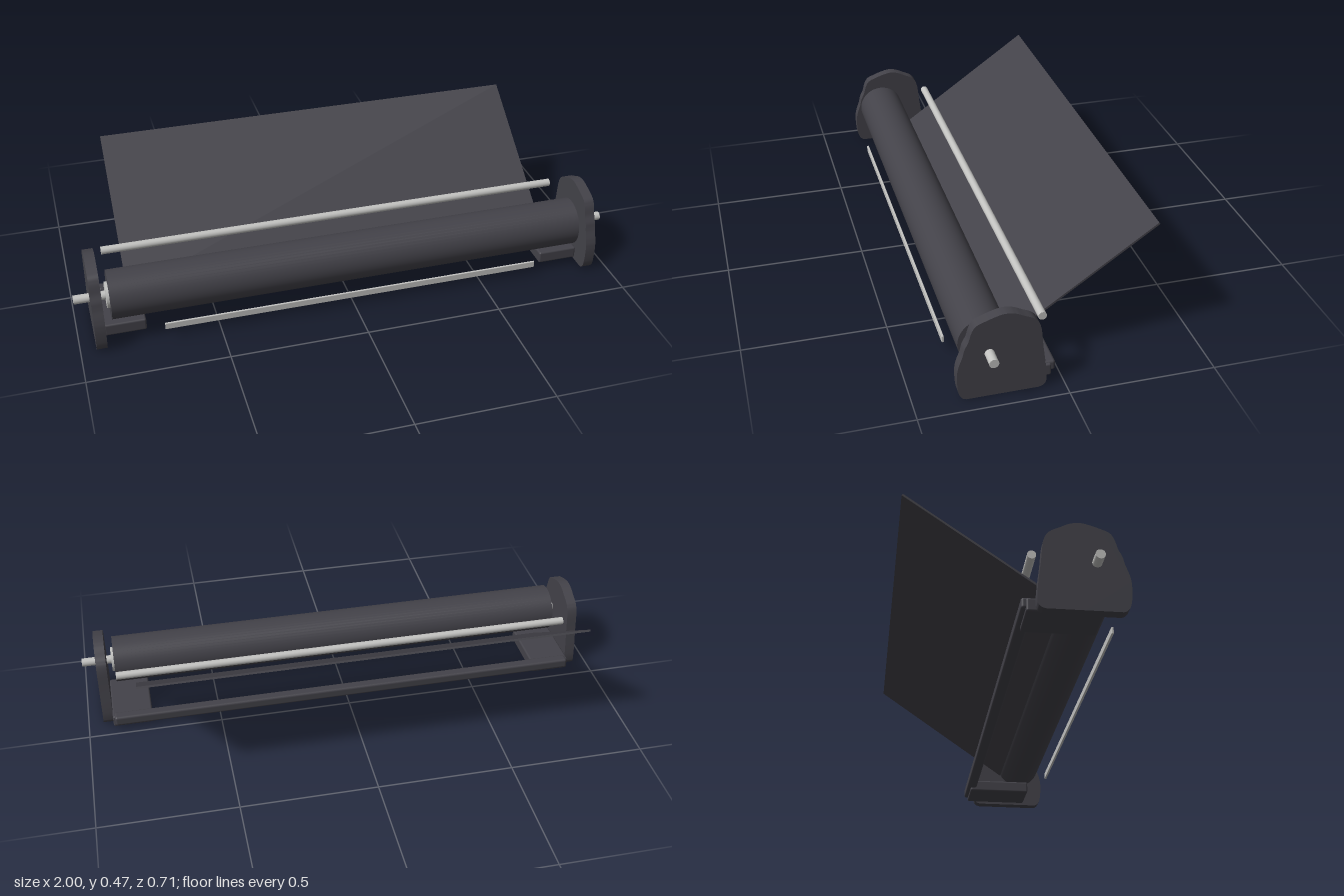
import * as THREE from 'three';
import { toCreasedNormals } from 'three/addons/utils/BufferGeometryUtils.js';
import { RoundedBoxGeometry } from 'three/addons/geometries/RoundedBoxGeometry.js';

export function createModel() {
  const model = new THREE.Group();
  const dark = new THREE.MeshStandardMaterial({ name: 'charcoal', color: 0x434249 });
  const steel = new THREE.MeshStandardMaterial({ name: 'steel grey', color: 0xc2c2c0 });

  function add(name, geometry, material, x = 0, y = 0, z = 0) {
    const mesh = new THREE.Mesh(geometry, material);
    mesh.name = name;
    mesh.position.set(x, y, z);
    model.add(mesh);
    return mesh;
  }
  // cylinder lying along x
  const bar = (radius, length) =>
    new THREE.CylinderGeometry(radius, radius, length, 48).rotateZ(Math.PI / 2);
  // box spanning the given ranges, with softened edges
  function block(name, [x0, x1], [y0, y1], [z0, z1], radius, material) {
    const geometry = new RoundedBoxGeometry(x1 - x0, y1 - y0, z1 - z0, 4, radius);
    return add(name, geometry, material, (x0 + x1) / 2, (y0 + y1) / 2, (z0 + z1) / 2);
  }

  // End plates: outline in (z, y), extruded along x
  const outline = [
    [0.328, 0], [0.343, 0.008], [0.353, 0.027], [0.358, 0.1], [0.353, 0.13],
    [0.339, 0.17], [0.333, 0.195], [0.32, 0.222], [0.31, 0.256], [0.296, 0.278],
    [0.27, 0.29], [0.232, 0.303], [0.202, 0.309], [0.169, 0.304], [0.137, 0.289],
    [0.104, 0.272], [0.087, 0.247], [0.0755, 0.1625], [0.062, 0.03], [0.068, 0.01], [0.089, 0],
  ].map(([z, y]) => new THREE.Vector3(z, y, 0));
  const curve = new THREE.CatmullRomCurve3(outline, true);
  const shape = new THREE.Shape(curve.getPoints(84).map(p => new THREE.Vector2(p.x, Math.max(0, p.y))));
  const plate = toCreasedNormals(
    new THREE.ExtrudeGeometry(shape, { depth: 0.038, bevelEnabled: false }).rotateY(-Math.PI / 2), 0.6);
  add('leftEndPlate', plate, dark, 0.944);
  add('rightEndPlate', plate, dark, -0.906);

  // Main roller on its axle, with end collars
  const axis = [0.168, 0.252];
  add('roller', bar(0.088, 1.755), dark, 0, ...axis);
  add('rollerCollars', bar(0.047, 1.775), steel, 0, ...axis);
  add('axle', bar(0.016, 2), steel, 0, ...axis);

  // Paper guide rod behind the roller
  add('guideRod', bar(0.0145, 1.75), steel, 0, 0.226, 0.058);

  // Sloping rear sheet, from under the roller up to the back
  const low = new THREE.Vector2(0.166, 0.1), high = new THREE.Vector2(-0.353, 0.465);
  const sheet = add('rearSheet', new THREE.BoxGeometry(1.61, 0.007, low.distanceTo(high)), dark,
    0, (low.y + high.y) / 2, (low.x + high.x) / 2);
  sheet.rotation.x = Math.atan2(high.y - low.y, low.x - high.x);

  // Rear crossbar, feet and thin front strip
  block('rearCrossbar', [-0.9, 0.9], [0.021, 0.059], [0.018, 0.058], 0.009, dark);
  for (const [name, x] of [['leftFoot', 0.832], ['rightFoot', -0.832]])
    block(name, [x - 0.075, x + 0.075], [0.008, 0.054], [0.033, 0.278], 0.007, dark);
  block('frontStrip', [-0.7, 0.7], [0.05, 0.075], [0.343, 0.351], 0.002, steel);

  return model;
}
